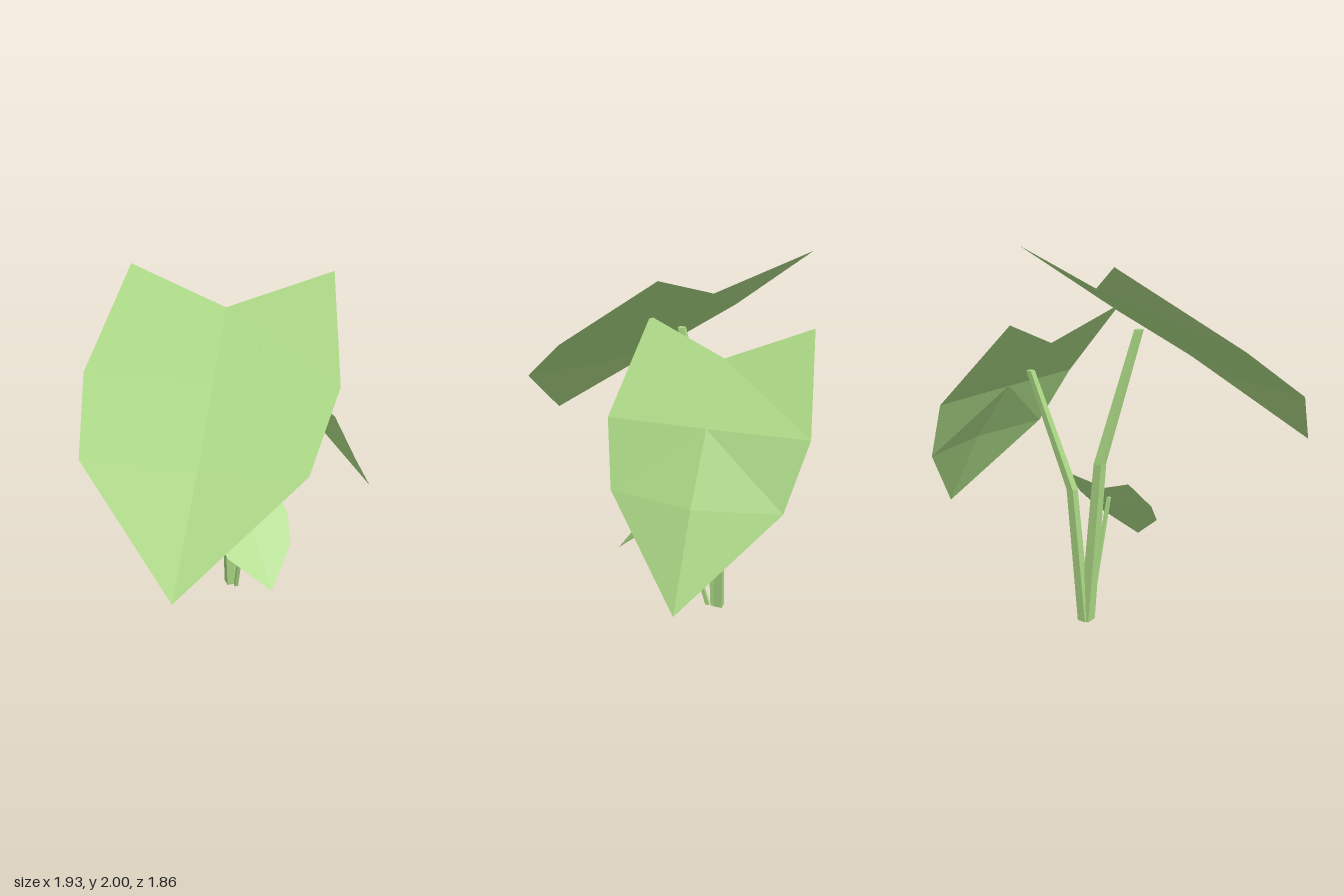
import * as THREE from 'three';

const leafGreen = new THREE.MeshStandardMaterial({ color: 0xa9d583, side: THREE.DoubleSide });
leafGreen.name = 'leaf green';

// Unshared corners give every facet its own flat normal
function facetMesh(name, triangles) {
  const geometry = new THREE.BufferGeometry();
  geometry.setAttribute('position', new THREE.Float32BufferAttribute(triangles.flat(2), 3));
  geometry.computeVertexNormals();
  const mesh = new THREE.Mesh(geometry, leafGreen);
  mesh.name = name;
  return mesh;
}

// Heart-shaped blade: rows of [right edge, midrib, left edge] running down to the tip
function leaf(name, rows, tip) {
  const triangles = [];
  rows.forEach(([a, m, b], i) => {
    if (i === rows.length - 1) {
      triangles.push([a, tip, m], [m, tip, b]);
    } else {
      const [a2, m2, b2] = rows[i + 1];
      triangles.push([a, a2, m], [m, a2, m2], [m, m2, b2], [m, b2, b]);
    }
  });
  return facetMesh(name, triangles);
}

// Four-sided stem through points [x, y, z, half width]
function stem(name, path) {
  const corners = [[-1, 1], [1, 1], [1, -1], [-1, -1]];
  const rings = path.map(([x, y, z, r]) => corners.map(([u, v]) => [x + u * r, y, z + v * r]));
  const triangles = [];
  for (let i = 0; i < rings.length - 1; i++) {
    for (let k = 0; k < 4; k++) {
      const n = (k + 1) % 4;
      const [lo, hi] = [rings[i], rings[i + 1]];
      triangles.push([lo[k], lo[n], hi[n]], [lo[k], hi[n], hi[k]]);
    }
  }
  const [base, top] = [rings[0], rings[rings.length - 1]];
  triangles.push([base[0], base[2], base[1]], [base[0], base[3], base[2]]);
  triangles.push([top[0], top[1], top[2]], [top[0], top[2], top[3]]);
  return facetMesh(name, triangles);
}

export function createModel() {
  const plant = new THREE.Group();
  plant.name = 'plant';

  // Blades
  plant.add(leaf('largeLeaf', [
    [[-0.46, 2.0, -0.73], [-0.04, 1.825, -0.3], [0.55, 2.0, -0.2]],
    [[-0.85, 1.58, -0.21], [-0.24, 1.54, 0.09], [0.33, 1.58, 0.42]],
    [[-0.97, 1.29, 0.22], [-0.44, 1.26, 0.48], [0.03, 1.29, 0.76]],
  ], [-0.7, 0.84, 0.93]));

  plant.add(leaf('sideLeaf', [
    [[0.04, 1.7, 0.02], [0.16, 1.545, -0.42], [0.05, 1.71, -0.85]],
    [[0.455, 1.27, 0.1], [0.465, 1.275, -0.42], [0.46, 1.28, -0.93]],
    [[0.63, 0.955, 0.02], [0.71, 0.95, -0.42], [0.63, 0.96, -0.85]],
  ], [0.96, 0.51, -0.42]));

  plant.add(leaf('smallLeaf', [
    [[-0.19, 0.79, -0.23], [0.01, 0.71, -0.17], [0.205, 0.79, -0.26]],
    [[-0.21, 0.605, -0.035], [0.02, 0.59, -0.07], [0.255, 0.61, -0.075]],
    [[-0.17, 0.475, 0.085], [0.03, 0.465, 0.06], [0.225, 0.475, 0.055]],
  ], [0.05, 0.295, 0.22]));

  // Stems
  plant.add(stem('largeLeafStem', [
    [-0.01, 0, -0.37, 0.03], [-0.055, 0.9, -0.3, 0.024], [-0.16, 1.6, -0.09, 0.018],
  ]));
  plant.add(stem('sideLeafStem', [
    [0, 0, -0.385, 0.025], [0.065, 0.76, -0.39, 0.021], [0.315, 1.38, -0.41, 0.016],
  ]));
  plant.add(stem('smallLeafStem', [
    [0.01, 0, -0.32, 0.011], [0.015, 0.64, -0.125, 0.009],
  ]));

  return plant;
}
